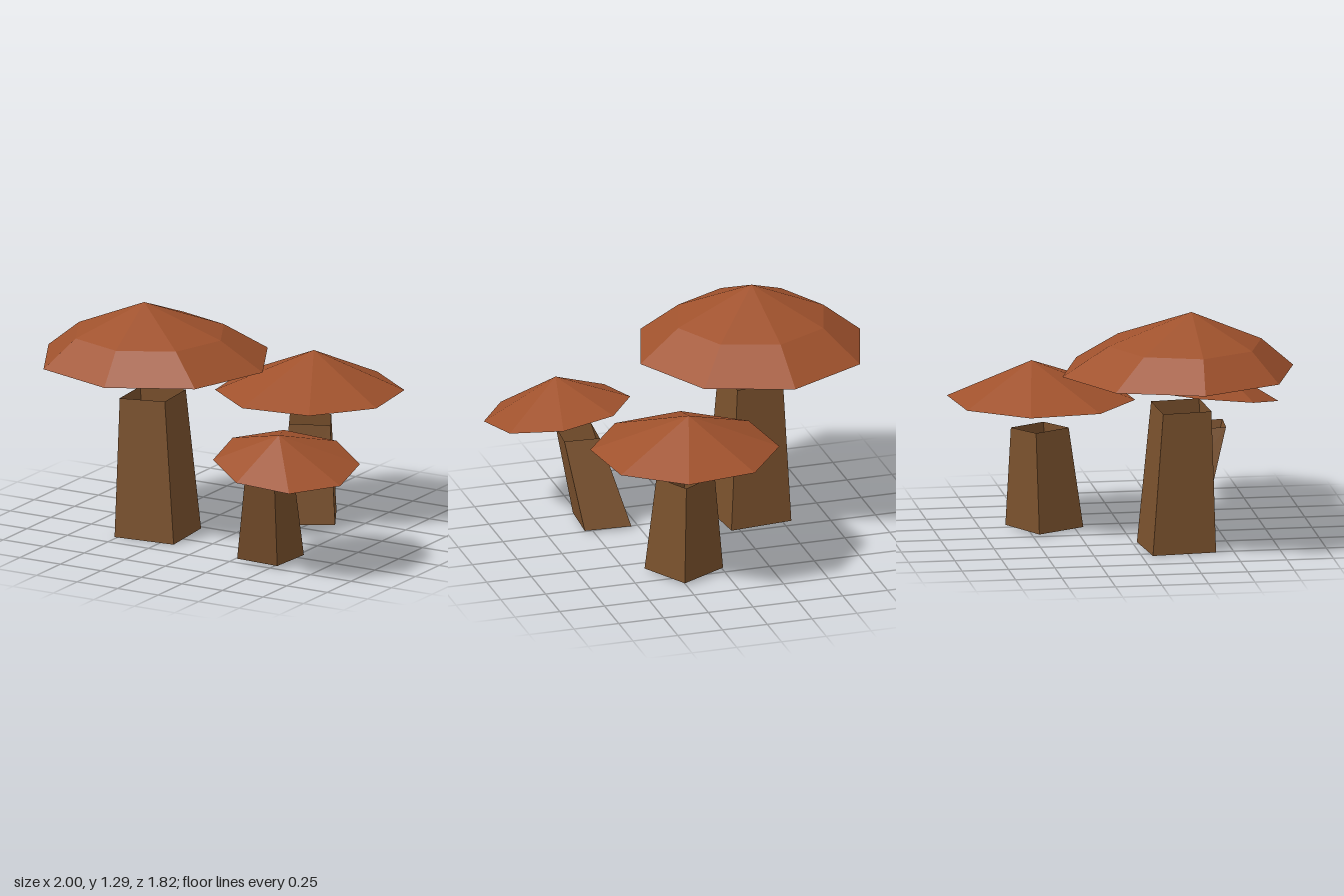
import * as THREE from 'three';

const capMaterial = new THREE.MeshStandardMaterial({ name: 'rust cap', color: 0xa0522d, flatShading: true, side: THREE.DoubleSide });
const stemMaterial = new THREE.MeshStandardMaterial({ name: 'brown stem', color: 0x7a512d, flatShading: true, side: THREE.DoubleSide });

// Open faceted shell lofted through rings, listed from bottom to top.
// Ring: centre x, y, z, radius r, and slopes sx, sz that tilt it; a ring of radius 0 is a point.
function shell(name, material, sides, degrees, rings) {
  const positions = [];
  const index = [];
  for (const { at: [x, y, z], r = 0, sx = 0, sz = 0 } of rings) {
    for (let i = 0; i < sides; i++) {
      const a = THREE.MathUtils.degToRad(degrees) + (i / sides) * Math.PI * 2;
      const dx = r * Math.cos(a);
      const dz = r * Math.sin(a);
      positions.push(x + dx, y + sx * dx + sz * dz, z + dz);
    }
  }
  for (let k = 0; k < rings.length - 1; k++) {
    for (let i = 0; i < sides; i++) {
      const j = (i + 1) % sides;
      const a = k * sides + i, b = k * sides + j;
      const c = a + sides, d = b + sides;
      index.push(a, c, b);
      if (rings[k + 1].r) index.push(b, c, d);
    }
  }
  const geometry = new THREE.BufferGeometry();
  geometry.setAttribute('position', new THREE.Float32BufferAttribute(positions, 3));
  geometry.setIndex(index);
  geometry.computeVertexNormals();
  const mesh = new THREE.Mesh(geometry, material);
  mesh.name = name;
  return mesh;
}

// Each mushroom is a leaning four-sided stem under a hollow eight-sided cap
const mushrooms = [
  {
    name: 'tallMushroom',
    stemAngle: 129.5,
    stem: [
      { at: [-0.36, 0, 0.215], r: 0.245 },
      { at: [-0.378, 0.772, 0.238], r: 0.187, sx: 0.05 },
    ],
    capAngle: 85.2,
    cap: [
      { at: [-0.371, 0.965, 0.22], r: 0.632 },
      { at: [-0.385, 1.122, 0.257], r: 0.418 },
      { at: [-0.4, 1.29, 0.29] },
    ],
  },
  {
    name: 'backMushroom',
    stemAngle: 106,
    stem: [
      { at: [0.2, 0.012, -0.41], r: 0.209 },
      { at: [0.198, 0.55, -0.435], r: 0.155, sx: -0.03, sz: 0.02 },
    ],
    capAngle: 15,
    cap: [
      { at: [0.2, 0.713, -0.428], r: 0.504 },
      { at: [0.195, 0.92, -0.48] },
    ],
  },
  {
    name: 'smallMushroom',
    stemAngle: 48.3,
    stem: [
      { at: [0.415, 0.013, 0.35], r: 0.181 },
      { at: [0.502, 0.466, 0.508], r: 0.137, sz: 0.06 },
    ],
    capAngle: 12.5,
    cap: [
      { at: [0.613, 0.609, 0.52], r: 0.391, sx: -0.124, sz: -0.119 },
      { at: [0.602, 0.77, 0.58] },
    ],
  },
];

export function createModel() {
  const model = new THREE.Group();
  model.name = 'mushroomCluster';
  for (const m of mushrooms) {
    const group = new THREE.Group();
    group.name = m.name;
    group.add(shell('stem', stemMaterial, 4, m.stemAngle, m.stem));
    group.add(shell('cap', capMaterial, 8, m.capAngle, m.cap));
    model.add(group);
  }
  return model;
}
